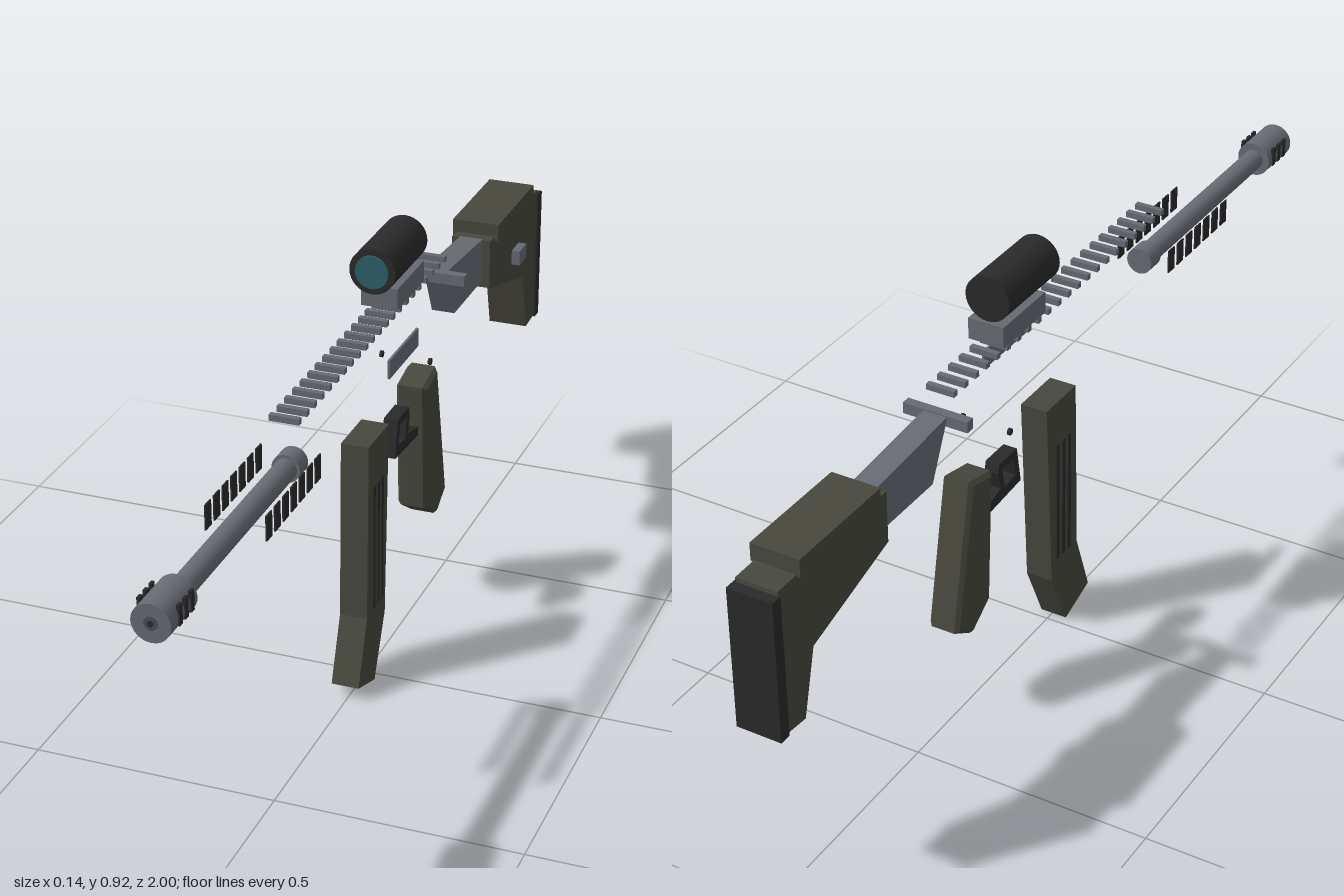
import * as THREE from 'three';

const material = (name, color) => {
  const m = new THREE.MeshStandardMaterial({ color });
  m.name = name;
  return m;
};

export function createModel() {
  const steel = material('gunmetal', 0x666b73);
  const darkSteel = material('dark steel', 0x4a4e55);
  const olive = material('olive polymer', 0x47483d);
  const black = material('black', 0x2a2a2a);
  const glass = material('teal glass', 0x2f6068);

  const model = new THREE.Group();
  model.name = 'explodedRifle';
  const body = new THREE.Group();
  body.name = 'rifleParts';
  body.position.x = -0.003;
  model.add(body);

  const add = (name, geometry, mat) => {
    const mesh = new THREE.Mesh(geometry, mat);
    mesh.name = name;
    body.add(mesh);
    return mesh;
  };
  // Box given by its extents on each axis
  const box = (name, mat, [x0, x1], [y0, y1], [z0, z1]) => {
    const g = new THREE.BoxGeometry(x1 - x0, y1 - y0, z1 - z0);
    g.translate((x0 + x1) / 2, (y0 + y1) / 2, (z0 + z1) / 2);
    return add(name, g, mat);
  };
  // Cylinder lying along z
  const rod = (name, mat, r, y, z0, z1, sides = 32) => {
    const g = new THREE.CylinderGeometry(r, r, Math.abs(z1 - z0), sides);
    g.rotateX(Math.PI / 2).translate(0, y, (z0 + z1) / 2);
    return add(name, g, mat);
  };
  // Side profile of [z, y] points, extruded across the width
  const slab = (name, mat, points, halfWidth, bevel = 0, hole = null) => {
    const vectors = (list) => list.map(([z, y]) => new THREE.Vector2(z, y));
    const shape = new THREE.Shape(vectors(points));
    if (hole) shape.holes.push(new THREE.Path(vectors(hole)));
    const depth = 2 * (halfWidth - bevel);
    const g = new THREE.ExtrudeGeometry(shape, {
      depth, bevelEnabled: bevel > 0, bevelSize: bevel, bevelOffset: -bevel,
      bevelThickness: bevel, bevelSegments: 1,
    });
    g.translate(0, 0, -depth / 2).rotateY(-Math.PI / 2);
    return add(name, g, mat);
  };

  // Barrel, collar and muzzle brake
  const axis = 0.672;
  rod('barrel', steel, 0.022, axis, 0.37, 0.9);
  rod('barrelCollar', steel, 0.028, axis, 0.37, 0.41);
  rod('muzzleBrake', steel, 0.037, axis, 0.893, 1);
  rod('boreRing', darkSteel, 0.013, axis, 0.99, 1.001);
  rod('bore', black, 0.006, axis, 0.99, 1.002, 16);
  for (const s of [-1, 1]) {
    for (let i = 0; i < 3; i++) {
      const z = 0.916 + i * 0.024;
      box('muzzleSlot', black, [s * 0.036 - 0.003, s * 0.036 + 0.003], [0.658, 0.698], [z - 0.006, z + 0.006]);
    }
    // Handguard vents
    for (let i = 0; i < 7; i++) {
      const z = 0.399 + i * 0.0387;
      box('handguardVent', black, [s * 0.058 - 0.0015, s * 0.058 + 0.0015], [0.653, 0.703], [z - 0.0125, z + 0.0125]);
    }
  }

  // Top rail teeth
  for (let i = 0; i < 22; i++) {
    const z = 0.41 - i * 0.038;
    box('railTooth', steel, [-0.03, 0.03], [0.768, 0.78], [z - 0.006, z + 0.006]);
  }

  // Scope and mount
  rod('scopeTube', black, 0.047, 0.881, -0.225, -0.039);
  rod('scopeLens', glass, 0.034, 0.881, -0.041, -0.034);
  box('scopeMount', steel, [-0.038, 0.038], [0.79, 0.834], [-0.232, -0.078]);

  // Receiver details
  box('ejectionPort', steel, [0.048, 0.053], [0.681, 0.72], [-0.16, 0.005]);
  box('chargingHandle', steel, [-0.069, 0.069], [0.715, 0.738], [-0.413, -0.394]);
  for (const s of [-1, 1]) {
    const pin = new THREE.CylinderGeometry(0.007, 0.007, 0.006, 12);
    pin.rotateZ(Math.PI / 2).translate(s * 0.052, 0.614, -0.235);
    add('receiverPin', pin, black);
  }

  // Stock
  slab('stockTube', steel, [[-0.41, 0.735], [-0.645, 0.717], [-0.645, 0.62], [-0.465, 0.62]], 0.025);
  slab('stockBody', olive, [
    [-0.643, 0.715], [-0.978, 0.708], [-0.978, 0.405], [-0.92, 0.4], [-0.885, 0.535], [-0.643, 0.607],
  ], 0.043);
  box('cheekRest', olive, [-0.051, 0.051], [0.705, 0.742], [-0.922, -0.673]);
  box('buttPad', black, [-0.047, 0.047], [0.402, 0.699], [-1, -0.975]);
  box('stockButton', steel, [0.057, 0.075], [0.62, 0.653], [-0.802, -0.754]);

  // Magazine with ribs on both sides
  slab('magazine', olive, [
    [0.057, 0.552], [-0.057, 0.552], [-0.037, 0.135], [0.022, 0.005], [0.115, 0.036], [0.066, 0.172],
  ], 0.029);
  for (const s of [-1, 1]) {
    for (const z of [0.03, 0.007, -0.016]) {
      box('magazineRib', black, [s * 0.03 - 0.002, s * 0.03 + 0.002], [0.18, 0.455], [z - 0.005, z + 0.005]);
    }
  }

  // Grip with chamfered sides
  slab('grip', olive, [
    [-0.265, 0.535], [-0.342, 0.552], [-0.405, 0.24], [-0.347, 0.205], [-0.28, 0.25],
  ], 0.033, 0.008);

  // Trigger guard
  slab('triggerGuard', black, [
    [-0.148, 0.515], [-0.214, 0.515], [-0.219, 0.495], [-0.209, 0.457], [-0.27, 0.443], [-0.27, 0.424], [-0.134, 0.434],
  ], 0.015, 0, [[-0.162, 0.498], [-0.203, 0.498], [-0.194, 0.453], [-0.153, 0.457]]);

  return model;
}
